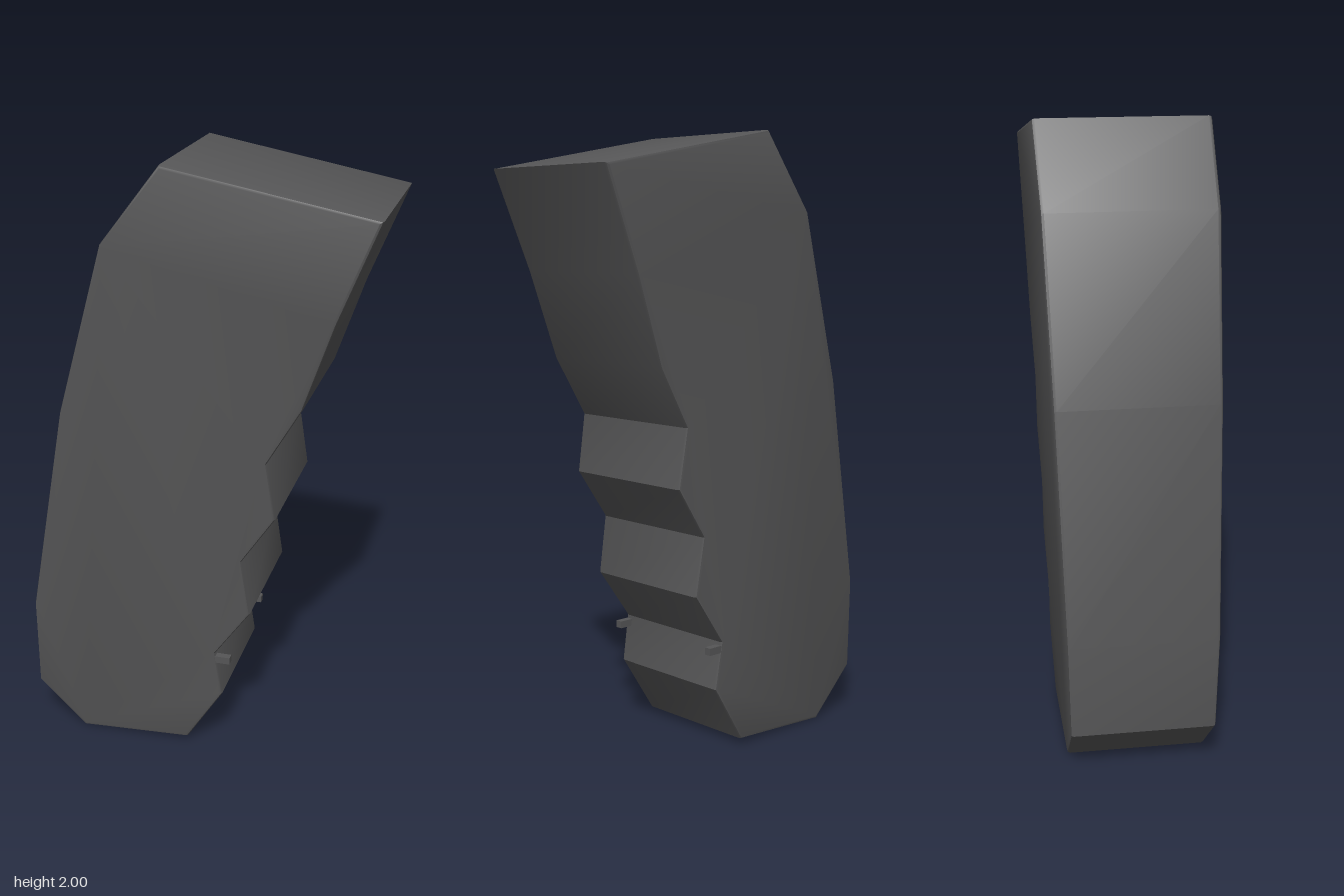
import * as THREE from 'three';
import { toCreasedNormals } from 'three/addons/utils/BufferGeometryUtils.js';

// Side outline of the grip, clockwise from the top rear corner
const OUTLINE = [
  [-0.09, 2.0], [0.57, 1.877], [0.443, 1.56], [0.347, 1.28],
  [0.237, 1.09], [0.267, 0.9], [0.157, 0.735], [0.187, 0.545],
  [0.067, 0.375], [0.092, 0.22], [-0.033, 0.023], [-0.408, 0.003],
  [-0.57, 0.165], [-0.57, 0.47], [-0.44, 1.19], [-0.283, 1.75],
];
const BEVEL = 0.01;

// Half thickness grows steadily from the base to the top
const halfDepth = (y) => 0.226 + 0.0255 * y;

function gripGeometry() {
  const shape = new THREE.Shape(OUTLINE.map(([x, y]) => new THREE.Vector2(x, y)));
  const geometry = new THREE.ExtrudeGeometry(shape, {
    depth: 0.5 - 2 * BEVEL,
    bevelEnabled: true,
    bevelThickness: BEVEL,
    bevelSize: BEVEL,
    bevelOffset: -BEVEL,
    bevelSegments: 2,
  });
  geometry.translate(0, 0, -0.25 + BEVEL);
  const position = geometry.attributes.position;
  for (let i = 0; i < position.count; i++) {
    position.setZ(i, (position.getZ(i) / 0.25) * halfDepth(position.getY(i)));
  }
  return toCreasedNormals(geometry, 0.48);
}

export function createModel() {
  const model = new THREE.Group();
  model.name = 'handGrip';
  const rubber = new THREE.MeshStandardMaterial({ color: 0x555556 });
  rubber.name = 'darkGrey';

  // Main body with finger grooves
  const body = new THREE.Mesh(gripGeometry(), rubber);
  body.name = 'gripBody';
  model.add(body);

  // Pair of small pegs in the lowest groove
  for (const side of [1, -1]) {
    const peg = new THREE.Mesh(new THREE.BoxGeometry(0.08, 0.024, 0.024), rubber);
    peg.name = side > 0 ? 'leftPeg' : 'rightPeg';
    peg.position.set(0.078, 0.352, side * 0.219);
    model.add(peg);
  }
  return model;
}
